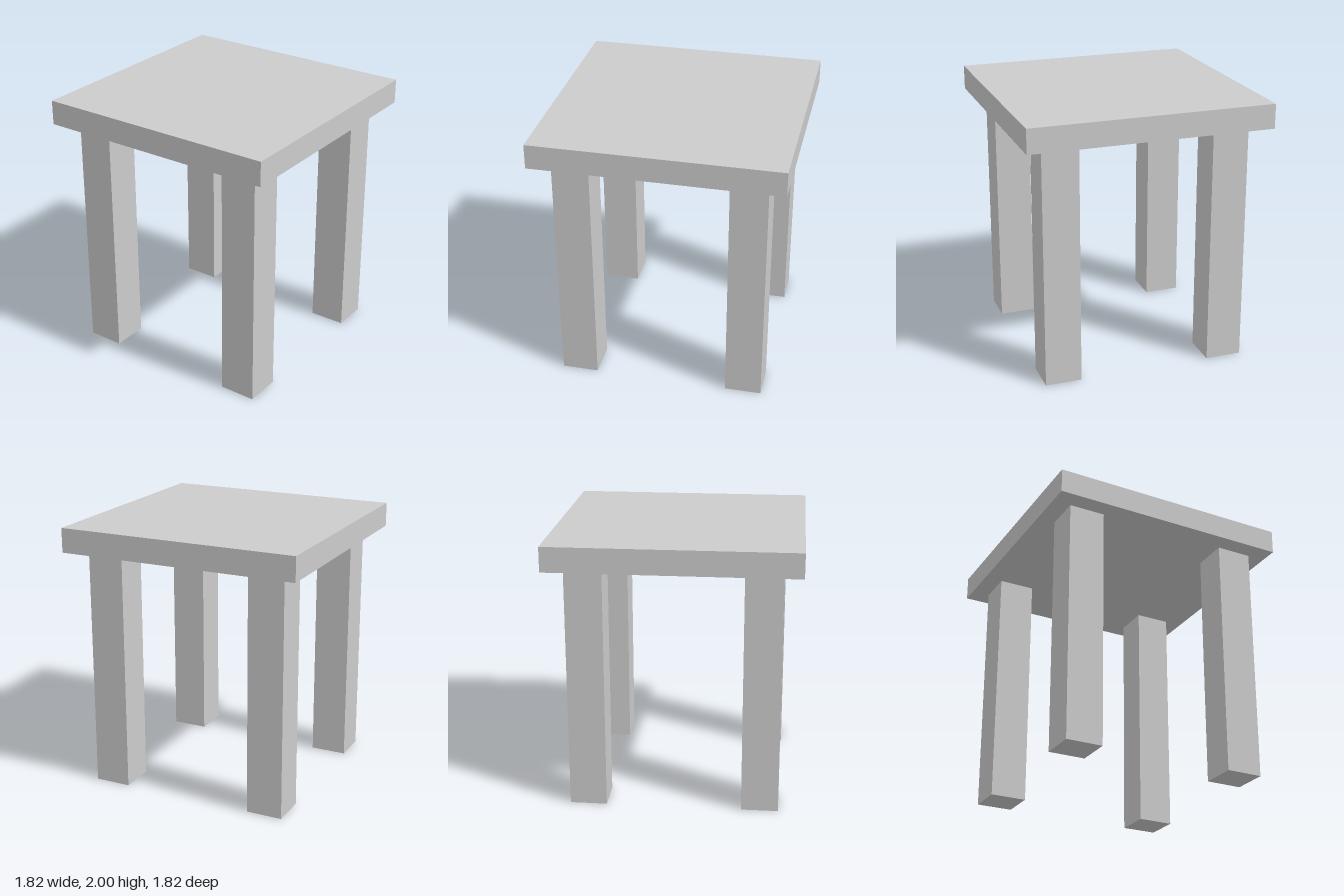
import * as THREE from 'three';

const TOP = { size: 1.818, height: 0.182 };
const LEG = { size: 0.272, height: 1.818, offset: 0.636 };

export function createModel() {
  const group = new THREE.Group();
  group.name = 'stool';
  const material = new THREE.MeshStandardMaterial({ color: 0xcccccc });

  // Square slab top
  const top = new THREE.Mesh(new THREE.BoxGeometry(TOP.size, TOP.height, TOP.size), material);
  top.name = 'seat';
  top.position.y = LEG.height + TOP.height / 2;
  group.add(top);

  // Four square legs, set in from the corners
  const legGeometry = new THREE.BoxGeometry(LEG.size, LEG.height, LEG.size);
  for (const [zName, z] of [['front', 1], ['back', -1]]) {
    for (const [xName, x] of [['Left', 1], ['Right', -1]]) {
      const leg = new THREE.Mesh(legGeometry, material);
      leg.name = `${zName}${xName}Leg`;
      leg.position.set(x * LEG.offset, LEG.height / 2, z * LEG.offset);
      group.add(leg);
    }
  }
  return group;
}
